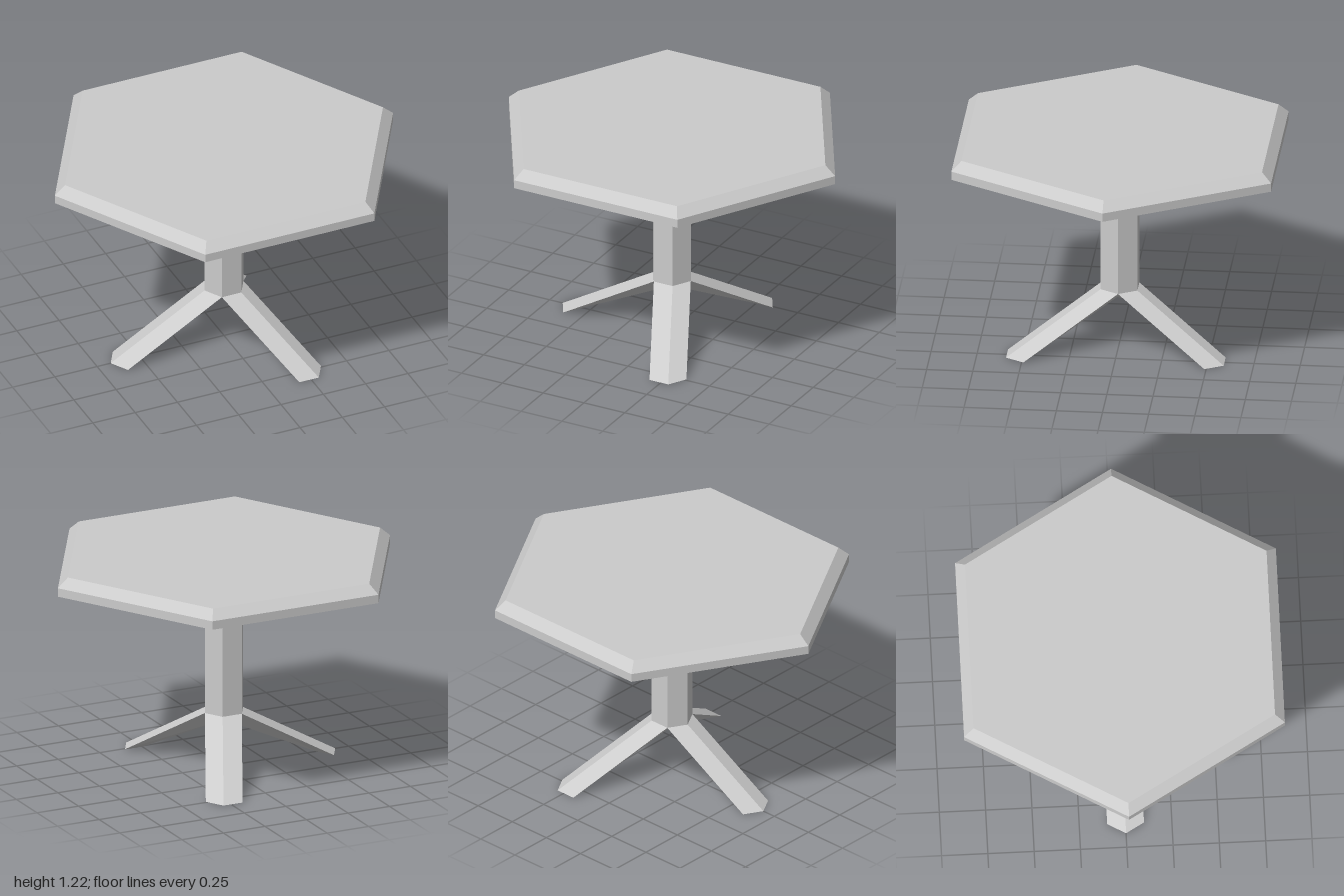
import * as THREE from 'three';

const material = new THREE.MeshStandardMaterial({
  color: 0xcccccc, flatShading: true, side: THREE.DoubleSide,
});

// Hexagonal solid from a [radius, y] profile running upwards, corners on +x and -x
function hexLathe(name, profile) {
  const points = profile.map(([r, y]) => new THREE.Vector2(r, y));
  const mesh = new THREE.Mesh(new THREE.LatheGeometry(points, 6, Math.PI / 2), material);
  mesh.name = name;
  return mesh;
}

const COLUMN_RADIUS = 0.115, COLUMN_BASE = 0.32, CROTCH = 0.265;

// Leg: a rhombic third of the column's hexagon, swept to the floor, open at the foot
function makeLeg(name, cornerAngle, dx, dz) {
  const corner = (a) => [COLUMN_RADIUS * Math.cos(a), COLUMN_BASE, COLUMN_RADIUS * Math.sin(a)];
  const top = [
    [0, CROTCH, 0],
    corner(cornerAngle - Math.PI / 3),
    corner(cornerAngle),
    corner(cornerAngle + Math.PI / 3),
  ];
  const foot = top.map(([x, , z]) => [x + dx, 0, z + dz]);
  const index = [];
  for (let i = 0; i < 4; i++) {
    const j = (i + 1) % 4;
    index.push(i, j, 4 + j, i, 4 + j, 4 + i);
  }
  const geometry = new THREE.BufferGeometry();
  geometry.setAttribute('position', new THREE.Float32BufferAttribute([...top, ...foot].flat(), 3));
  geometry.setIndex(index);
  // Sweep runs downwards and outwards: make the faces point away from the leg's core
  const p = (i) => new THREE.Vector3().fromBufferAttribute(geometry.attributes.position, i);
  const normal = p(2).sub(p(1)).cross(p(6).sub(p(1)));
  const core = p(0).add(p(2)).add(p(4)).add(p(6)).multiplyScalar(0.25);
  if (normal.dot(p(1).sub(core)) < 0) geometry.setIndex(index.reverse());
  geometry.computeVertexNormals();
  const mesh = new THREE.Mesh(geometry, material);
  mesh.name = name;
  return mesh;
}

export function createModel() {
  const model = new THREE.Group();
  model.name = 'hexagonalTable';

  // Table top with bevelled upper edge and sloped recess underneath
  model.add(hexLathe('tableTop', [
    [0, 1.165], [0.83, 1.165], [0.89, 1.117], [1, 1.117], [1, 1.165], [0.94, 1.217], [0, 1.217],
  ]));

  // Column flaring into a collar that meets the recess
  model.add(hexLathe('column', [
    [COLUMN_RADIUS, COLUMN_BASE], [COLUMN_RADIUS, 0.93],
  ]));
  model.add(hexLathe('collar', [
    [COLUMN_RADIUS, 0.93], [0.205, 1.0], [0.205, 1.09], [0.16, 1.165],
  ]));

  // Three splayed legs: one to the right, a mirrored pair to the left
  model.add(makeLeg('rightLeg', Math.PI, -0.555, 0));
  for (const s of [1, -1]) {
    model.add(makeLeg(s > 0 ? 'frontLeftLeg' : 'backLeftLeg', s * Math.PI / 3, 0.238, s * 0.49));
  }
  return model;
}
